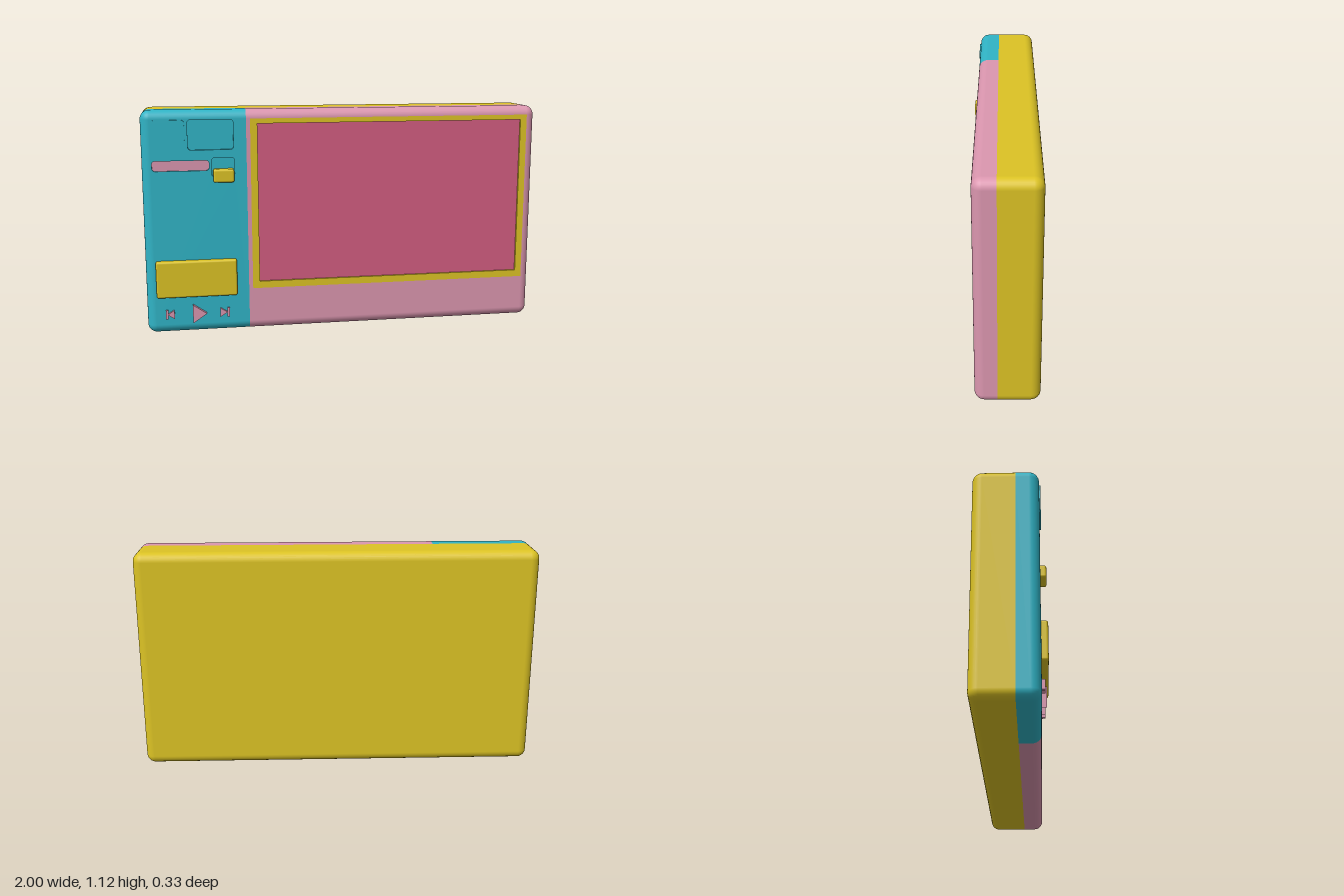
import * as THREE from 'three';
import { RoundedBoxGeometry } from 'three/addons/geometries/RoundedBoxGeometry.js';

const X = 1, H = 1.12, R = 0.045;             // half width, height, edge rounding
const BACK = -0.165, SPLIT = 0.03, FRONT = 0.135, SEAM = -0.49;

const mat = (name, color) => {
  const m = new THREE.MeshStandardMaterial({ color });
  m.name = name;
  return m;
};

// Rounded rectangle path
function rect(x0, x1, y0, y1, r = 0, Type = THREE.Shape) {
  const s = new Type();
  if (!r) {
    s.moveTo(x0, y0); s.lineTo(x1, y0); s.lineTo(x1, y1); s.lineTo(x0, y1); s.closePath();
    return s;
  }
  s.moveTo(x0 + r, y0);
  s.absarc(x1 - r, y0 + r, r, -Math.PI / 2, 0);
  s.absarc(x1 - r, y1 - r, r, 0, Math.PI / 2);
  s.absarc(x0 + r, y1 - r, r, Math.PI / 2, Math.PI);
  s.absarc(x0 + r, y0 + r, r, Math.PI, Math.PI * 1.5);
  return s;
}

// Rounded case sides lofted through sections [z, inset, slope angle], limited to xMin..xMax
function caseSides(sections, xMin, xMax) {
  const pos = [], nor = [], idx = [], N = 8, row = 4 * (N + 1);
  for (const [z, inset, slope] of sections) {
    for (let c = 0; c < 4; c++) {
      const cx = (c === 0 || c === 3 ? 1 : -1) * (X - R);
      const cy = c < 2 ? H - R : R;
      for (let i = 0; i <= N; i++) {
        const a = (c + i / N) * Math.PI / 2, r = R - inset;
        const x = cx + r * Math.cos(a);
        pos.push(Math.min(xMax, Math.max(xMin, x)), cy + r * Math.sin(a), z);
        nor.push(Math.cos(a) * Math.cos(slope), Math.sin(a) * Math.cos(slope), Math.sin(slope));
      }
    }
  }
  for (let j = 0; j < sections.length - 1; j++) {
    for (let i = 0; i < row; i++) {
      const a = j * row + i, b = j * row + (i + 1) % row;
      idx.push(a, b, b + row, a, b + row, a + row);
    }
  }
  const g = new THREE.BufferGeometry();
  g.setAttribute('position', new THREE.Float32BufferAttribute(pos, 3));
  g.setAttribute('normal', new THREE.Float32BufferAttribute(nor, 3));
  g.setIndex(idx);
  return g;
}

// Shape extruded between two depths
function slab(shape, z0, z1) {
  const g = new THREE.ExtrudeGeometry(shape, { depth: z1 - z0, bevelEnabled: false, curveSegments: 6 });
  return g.translate(0, 0, z0);
}

export function createModel() {
  const group = new THREE.Group();
  const teal = mat('teal', 0x30b4c6), pink = mat('pink', 0xdb96af);
  const yellow = mat('yellow', 0xdcc324), rose = mat('rose', 0xd25d80);
  const orange = mat('orange', 0xe09c10);
  const add = (name, geo, m) => {
    const mesh = new THREE.Mesh(geo, m);
    mesh.name = name;
    group.add(mesh);
    return mesh;
  };

  // Case shells
  const arc = [];
  for (let i = 0; i <= 8; i++) {
    const a = i / 8 * Math.PI / 2;
    arc.push([R * (1 - Math.sin(a)), R * (1 - Math.cos(a)), a]);
  }
  const frontSections = [[SPLIT, 0, 0], ...arc.map(([d, inset, a]) => [FRONT - d, inset, a])];
  const backSections = [...arc.map(([d, inset, a]) => [BACK + d, inset, -a]).reverse(), [SPLIT, 0, 0]];
  add('backShell', caseSides(backSections, -X, X), yellow);
  add('backPanel', slab(rect(-X + R, X - R, R, H - R), BACK, BACK + 0.02), yellow);
  add('controlShell', caseSides(frontSections, -X, SEAM), teal);
  add('screenShell', caseSides(frontSections, SEAM, X), pink);

  // Screen face with frame and sunken screen
  const screenFace = rect(SEAM, X - R, R, H - R);
  const frameBox = [-0.47, 0.955, 0.215, 1.075];
  screenFace.holes.push(rect(...frameBox, 0, THREE.Path));
  add('screenFace', slab(screenFace, 0.1, FRONT), pink);
  const frame = rect(...frameBox);
  frame.holes.push(rect(-0.435, 0.922, 0.25, 1.05, 0, THREE.Path));
  add('screenFrame', slab(frame, 0.1, FRONT), yellow);
  add('screen', slab(rect(-0.45, 0.94, 0.24, 1.06), 0.1, FRONT - 0.01), rose);

  // Control face with sunken pockets: box, corner radius, depth, floor colour
  const controlFace = rect(-X + R, SEAM, R, H - R);
  const pockets = [
    ['keyPocket', [-0.775, -0.553, 0.925, 1.072], 0.015, 0.015, teal],
    ['sliderSlot', [-0.95, -0.675, 0.823, 0.873], 0.015, 0.01, pink],
    ['switchPocket', [-0.662, -0.55, 0.79, 0.885], 0.015, 0.015, teal],
  ];
  for (const [name, [x0, x1, y0, y1], r, depth, m] of pockets) {
    controlFace.holes.push(rect(x0, x1, y0, y1, r, THREE.Path));
    add(name, slab(rect(x0 - 0.005, x1 + 0.005, y0 - 0.005, y1 + 0.005), 0.1, FRONT - depth), m);
  }
  add('controlFace', slab(controlFace, 0.1, FRONT), teal);
  add('key', slab(rect(-0.948, -0.79, 0.925, 1.072, 0.015), 0.12, 0.141), teal);

  // Raised buttons with orange side plates
  const buttons = [
    ['switchKnob', -0.655, -0.553, 0.765, 0.83, 0.02],
    ['mainButton', -0.95, -0.55, 0.19, 0.375, 0.08],
  ];
  for (const [name, x0, x1, y0, y1, sideH] of buttons) {
    const g = new RoundedBoxGeometry(x1 - x0, y1 - y0, 0.06, 3, 0.01);
    add(name, g.translate((x0 + x1) / 2, (y0 + y1) / 2, 0.135), yellow);
    const side = new THREE.BoxGeometry(0.002, sideH - 0.01, 0.02);
    add(name + 'Side', side.translate(x1, y0 + 0.01 + (sideH - 0.01) / 2, 0.145), orange);
  }

  // Playback symbols
  const triangle = (xBase, xTip, y, h) => {
    const s = new THREE.Shape();
    s.moveTo(xBase, y - h); s.lineTo(xTip, y); s.lineTo(xBase, y + h); s.closePath();
    return s;
  };
  add('playSymbol', slab(triangle(-0.775, -0.705, 0.1, 0.048), 0.12, 0.157), pink);
  for (const [name, bar, base, tip] of [
    ['previousSymbol', -0.903, -0.866, -0.9],
    ['nextSymbol', -0.597, -0.638, -0.602],
  ]) {
    add(name, slab(triangle(base, tip, 0.1, 0.023), 0.12, 0.15), pink);
    add(name + 'Bar', slab(rect(bar - 0.006, bar + 0.006, 0.077, 0.123), 0.12, 0.15), pink);
  }
  return group;
}
